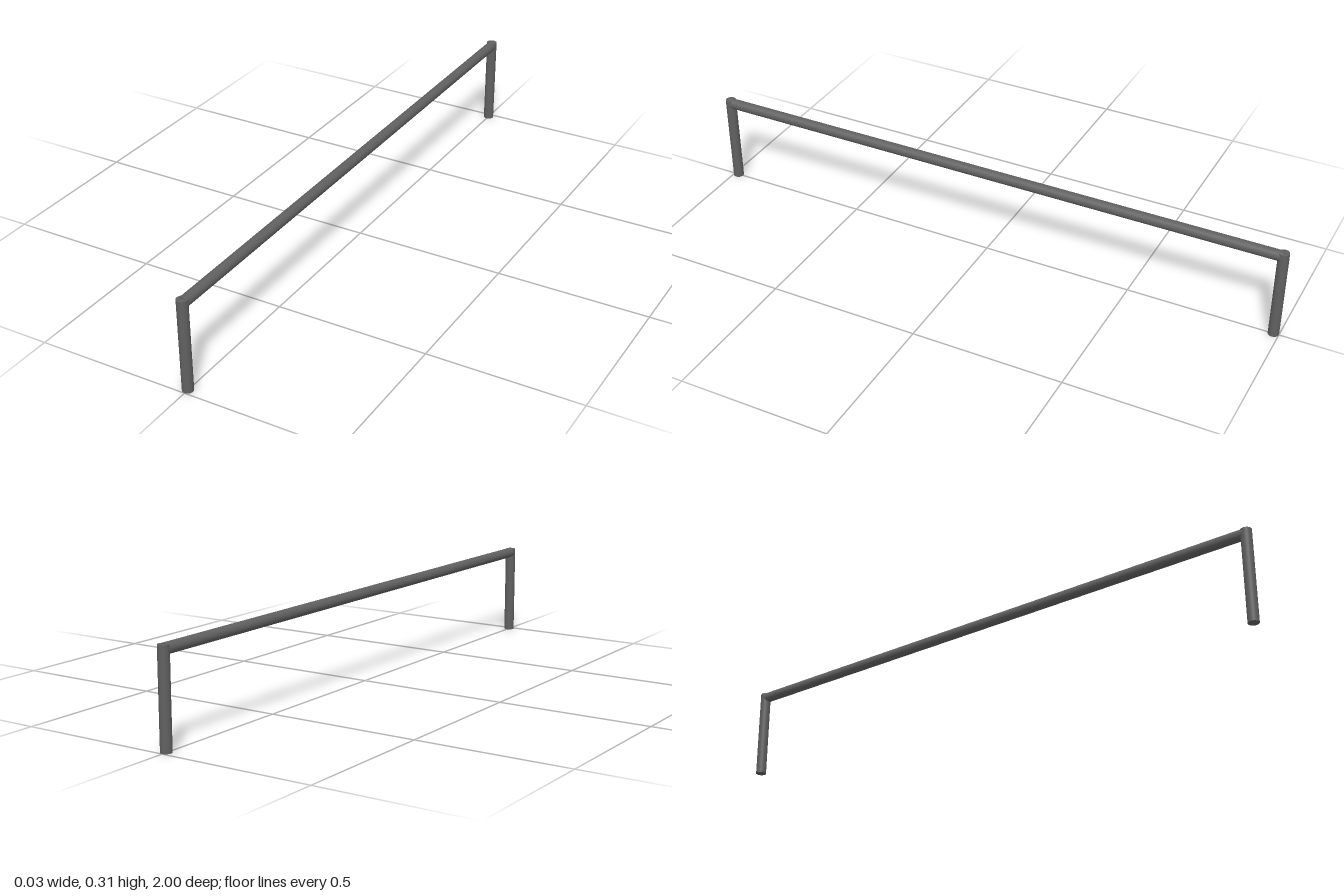
import * as THREE from 'three';

const RADIUS = 0.0174;
const LEG_HEIGHT = 0.305;
const LEG_Z = 1 - RADIUS;
const BAR_Y = 0.309 - RADIUS;

export function createModel() {
  const group = new THREE.Group();
  group.name = 'handrail';
  const material = new THREE.MeshStandardMaterial({ color: 0x606060 });

  // Round rod, standing upright by default
  const rod = (name, length) => {
    const mesh = new THREE.Mesh(new THREE.CylinderGeometry(RADIUS, RADIUS, length, 32), material);
    mesh.name = name;
    group.add(mesh);
    return mesh;
  };

  // Legs at both ends
  for (const [name, side] of [['frontLeg', 1], ['backLeg', -1]]) {
    rod(name, LEG_HEIGHT).position.set(0, LEG_HEIGHT / 2, side * LEG_Z);
  }

  // Long bar running between the leg axes, slightly proud of the leg tops
  const bar = rod('topBar', 2 * LEG_Z);
  bar.rotation.x = Math.PI / 2;
  bar.position.y = BAR_Y;

  return group;
}
